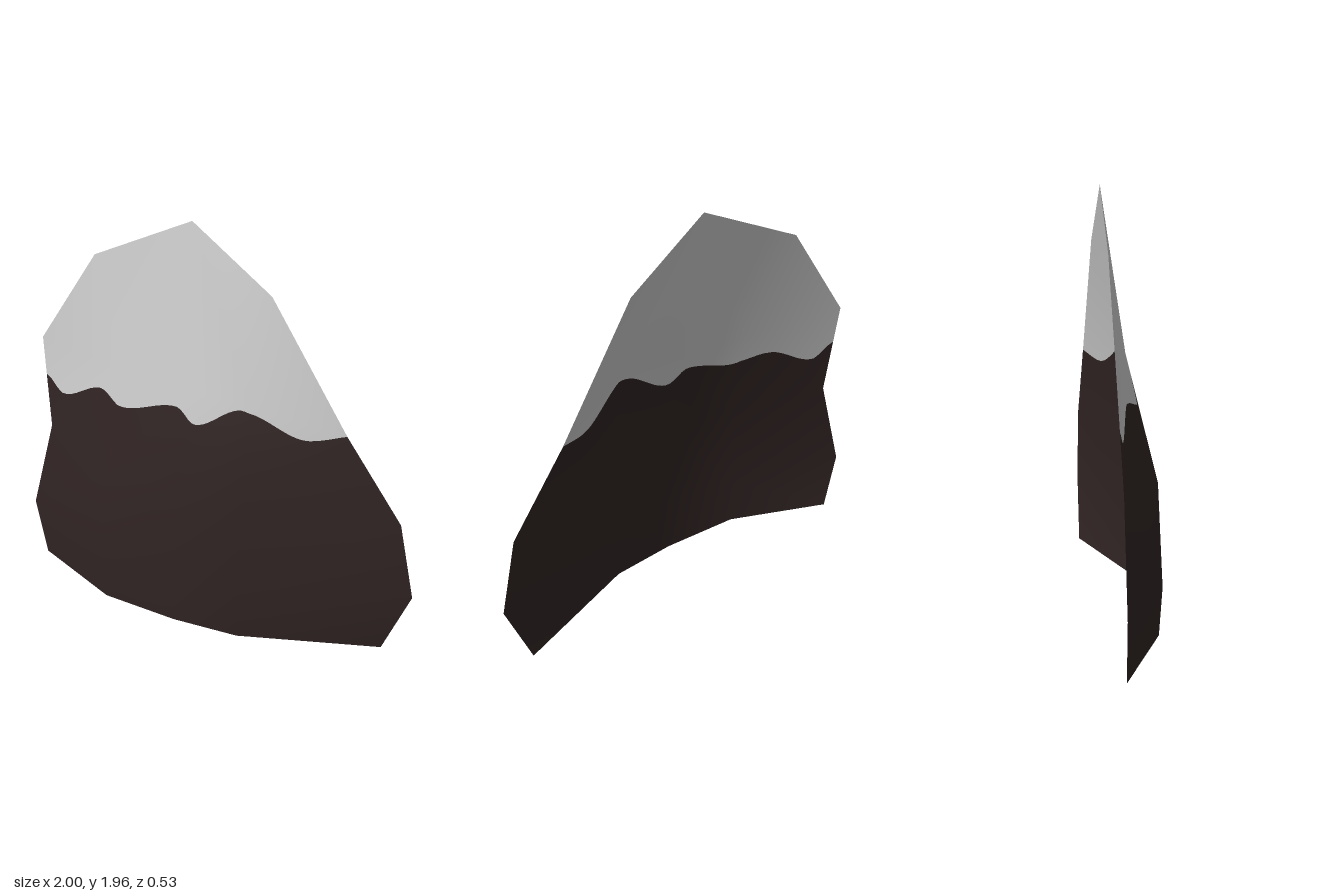
import * as THREE from 'three';
import { mergeVertices } from 'three/addons/utils/BufferGeometryUtils.js';

// Cross-sections of the curved sheet, from the ground up; each runs from -x to +x.
const ROWS = [
  [[-0.94, 0, 0.143], [-0.43, 0, 0.25], [-0.04, 0, 0.195], [0.28, 0, 0.11], [0.87, 0, -0.243]],
  [[-1, 0.29, 0.15], [-0.44, 0.23, 0.265], [-0.04, 0.28, 0.2], [0.28, 0.3, 0.11], [1, 0.33, -0.265]],
  [[-0.87, 0.77, 0.125], [-0.42, 0.7, 0.24], [-0.04, 0.72, 0.17], [0.28, 0.72, 0.09], [0.92, 0.7, -0.25]],
  [[-0.92, 1.23, 0.1], [-0.4, 1.2, 0.105], [-0.04, 1.2, 0.07], [0.28, 1.2, 0.035], [0.65, 1.08, -0.195]],
];
const CREST = [[-0.61, 1.71, 0.04], [-0.1, 1.96, -0.04], [0.28, 1.68, -0.115]];

// Crests and dips of the wavy snow line, as [x, y].
const SNOW = [[-1.1, 1.05], [-0.9, 1.04], [-0.79, 0.97], [-0.53, 1.075], [-0.38, 1.04],
  [-0.09, 1.115], [0.01, 1.055], [0.25, 1.18], [0.51, 1.055], [0.7, 1.09], [1.1, 1.09]];

function snowHeight(x) {
  let i = 0;
  while (i < SNOW.length - 2 && x > SNOW[i + 1][0]) i++;
  const [a, b] = [SNOW[i], SNOW[i + 1]];
  return THREE.MathUtils.lerp(a[1], b[1], THREE.MathUtils.smoothstep(x, a[0], b[0]));
}

// Coarse triangles of the whole face, with smooth normals.
function coarseSheet() {
  const points = [];
  const tri = (...corners) => corners.forEach((c) => points.push(...c));
  for (let r = 0; r < 3; r++) {
    for (let c = 0; c < 4; c++) {
      const [a, b, d, e] = [ROWS[r][c], ROWS[r][c + 1], ROWS[r + 1][c + 1], ROWS[r + 1][c]];
      tri(a, b, d);
      tri(a, d, e);
    }
  }
  const [l, ml, m, mr, rt] = ROWS[3];
  const [shoulder, peak, slope] = CREST;
  tri(l, ml, shoulder);
  tri(ml, peak, shoulder);
  tri(ml, m, peak);
  tri(m, mr, peak);
  tri(mr, slope, peak);
  tri(mr, rt, slope);
  const raw = new THREE.BufferGeometry();
  raw.setAttribute('position', new THREE.Float32BufferAttribute(points, 3));
  const sheet = mergeVertices(raw, 1e-4);
  sheet.computeVertexNormals();
  return sheet;
}

const mix = (a, b, t) => ({ p: a.p.clone().lerp(b.p, t), n: a.n.clone().lerp(b.n, t).normalize() });
const overSnow = (v) => v.p.y - snowHeight(v.p.x);

// Keep the part of a polygon on one side of the snow line (side = 1 above, -1 below).
function clip(polygon, side) {
  const kept = [];
  polygon.forEach((a, i) => {
    const b = polygon[(i + 1) % polygon.length];
    const fa = side * overSnow(a);
    const fb = side * overSnow(b);
    if (fa >= 0) kept.push(a);
    if ((fa >= 0) !== (fb >= 0)) kept.push(mix(a, b, fa / (fa - fb)));
  });
  return kept;
}

// Split each triangle into quarters so the snow line can be cut finely.
function subdivide(tri, depth, out) {
  if (depth === 0) {
    out.push(tri);
    return;
  }
  const [a, b, c] = tri;
  const [ab, bc, ca] = [mix(a, b, 0.5), mix(b, c, 0.5), mix(c, a, 0.5)];
  [[a, ab, ca], [ab, b, bc], [ca, bc, c], [ab, bc, ca]].forEach((t) => subdivide(t, depth - 1, out));
}

function layerGeometry(triangles, side) {
  const positions = [];
  const normals = [];
  for (const tri of triangles) {
    const polygon = clip(tri, side);
    for (let i = 1; i < polygon.length - 1; i++) {
      for (const v of [polygon[0], polygon[i], polygon[i + 1]]) {
        positions.push(...v.p.toArray());
        normals.push(...v.n.toArray());
      }
    }
  }
  const geometry = new THREE.BufferGeometry();
  geometry.setAttribute('position', new THREE.Float32BufferAttribute(positions, 3));
  geometry.setAttribute('normal', new THREE.Float32BufferAttribute(normals, 3));
  return geometry;
}

export function createModel() {
  const group = new THREE.Group();
  group.name = 'mountain';

  const sheet = coarseSheet();
  const { position, normal } = sheet.attributes;
  const corner = (i) => ({
    p: new THREE.Vector3().fromBufferAttribute(position, i),
    n: new THREE.Vector3().fromBufferAttribute(normal, i),
  });
  const triangles = [];
  for (let i = 0; i < sheet.index.count; i += 3) {
    subdivide([0, 1, 2].map((k) => corner(sheet.index.getX(i + k))), 4, triangles);
  }

  // Dark rock below the snow line, pale snow cap above it.
  const layers = [['rockFace', 'dark rock', 0x302423, -1], ['snowCap', 'snow', 0xcccccc, 1]];
  for (const [name, colourName, color, side] of layers) {
    const material = new THREE.MeshStandardMaterial({ color, side: THREE.DoubleSide });
    material.name = colourName;
    const mesh = new THREE.Mesh(layerGeometry(triangles, side), material);
    mesh.name = name;
    group.add(mesh);
  }
  return group;
}
